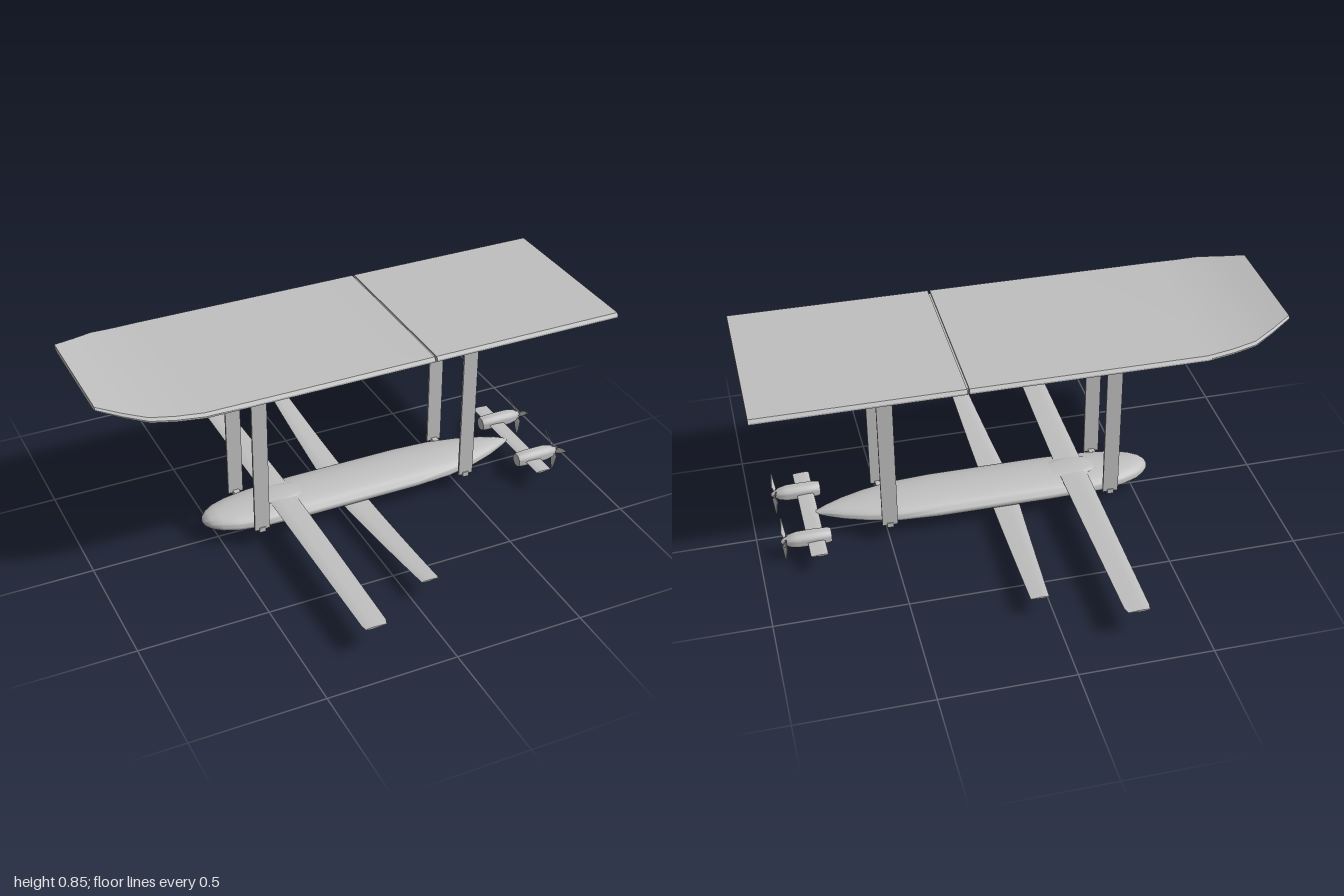
import * as THREE from 'three';
import { toCreasedNormals } from 'three/addons/utils/BufferGeometryUtils.js';

const hullGrey = new THREE.MeshStandardMaterial({ color: 0xc0c0c0 });

// Closed skin through rings of [x, y, z] points, capped at both ends
function loft(rings, crease = 0.6) {
  const n = rings[0].length, pos = rings.flat(2), idx = [];
  for (let i = 0; i < rings.length - 1; i++) {
    for (let j = 0; j < n; j++) {
      const a = i * n + j, b = i * n + (j + 1) % n;
      idx.push(a, b, b + n, a, b + n, a + n);
    }
  }
  const last = (rings.length - 1) * n;
  for (let j = 1; j < n - 1; j++) idx.push(0, j + 1, j, last, last + j, last + j + 1);
  // Turn the faces outwards when the signed volume is negative
  const p = (i) => new THREE.Vector3().fromArray(pos, i * 3);
  let volume = 0;
  for (let i = 0; i < idx.length; i += 3) volume += p(idx[i]).dot(p(idx[i + 1]).cross(p(idx[i + 2])));
  if (volume < 0) idx.reverse();
  const g = new THREE.BufferGeometry();
  g.setAttribute('position', new THREE.Float32BufferAttribute(pos, 3));
  g.setIndex(idx);
  return toCreasedNormals(g, crease);
}

// Elliptical ring across the x axis
function ellipse(x, y, z, ry, rz, n = 32) {
  return Array.from({ length: n }, (_, i) => {
    const a = (i / n) * Math.PI * 2;
    return [x, y + ry * Math.sin(a), z + rz * Math.cos(a)];
  });
}

// Thin aerofoil ring from leading edge x0 to trailing edge x1
function foil(x0, x1, y, z, t) {
  const c = x1 - x0;
  return [[0, 0], [0.12, 0.4], [0.4, 0.5], [1, 0.1], [1, -0.1], [0.4, -0.5], [0.12, -0.4]]
    .map(([u, v]) => [x0 + u * c, y + v * t, z]);
}

export function createModel() {
  const model = new THREE.Group();
  const add = (name, geometry, x = 0, y = 0, z = 0, parent = model) => {
    const mesh = new THREE.Mesh(geometry, hullGrey);
    mesh.name = name;
    mesh.position.set(x, y, z);
    parent.add(mesh);
    return mesh;
  };
  const box = (name, w, h, d, x, y, z, parent) => add(name, new THREE.BoxGeometry(w, h, d), x, y, z, parent);

  // Upper deck: two bevelled panels, the front one with an upturned nose
  const deckRing = ([x, w, top, t]) => {
    const right = [[w - 0.008, top], [w, top - 0.35 * t], [w, top - 0.55 * t], [w - 0.03, top - t]];
    return [...right, ...right.slice().reverse().map(([z, y]) => [-z, y])].map(([z, y]) => [x, y, z]);
  };
  add('frontDeckPanel', loft([
    [-1, 0.238, 0.866, 0.02], [-0.92, 0.283, 0.847, 0.026], [-0.84, 0.325, 0.832, 0.03],
    [-0.75, 0.34, 0.822, 0.032], [-0.65, 0.352, 0.816, 0.033], [0.228, 0.352, 0.816, 0.033],
  ].map(deckRing), 0.25));
  add('rearDeckPanel', loft([[0.236, 0.352, 0.816, 0.033], [1, 0.352, 0.816, 0.033]].map(deckRing), 0.25));
  box('deckJoint', 0.02, 0.024, 0.66, 0.232, 0.798, 0);

  // Rail frame under the deck
  for (const s of [1, -1]) {
    box('deckRail', 1.62, 0.02, 0.05, 0.17, 0.775, s * 0.138);
    box('railFoot', 1.6, 0.006, 0.034, 0.17, 0.763, s * 0.134);
  }
  for (const x of [-0.63, 0.97]) box('railCrossbar', 0.02, 0.02, 0.32, x, 0.775, 0);

  // Lower hull, flattened with a blunt nose and a tapering tail
  add('hull', loft([
    [-0.562, 0.102, 0.004, 0.006], [-0.555, 0.102, 0.016, 0.026], [-0.535, 0.102, 0.028, 0.05],
    [-0.5, 0.101, 0.036, 0.075], [-0.44, 0.1, 0.041, 0.098], [-0.34, 0.1, 0.044, 0.115],
    [-0.15, 0.101, 0.047, 0.122], [0.3, 0.101, 0.047, 0.122], [0.45, 0.101, 0.044, 0.113],
    [0.57, 0.102, 0.037, 0.088], [0.66, 0.103, 0.028, 0.058], [0.72, 0.104, 0.02, 0.03],
    [0.765, 0.104, 0.006, 0.008],
  ].map(([x, y, ry, rz]) => ellipse(x, y, 0, ry, rz)), 1));
  add('wingFairing', loft([
    [-0.36, 0.136, 0.003, 0.02], [-0.31, 0.142, 0.008, 0.05], [-0.25, 0.142, 0.01, 0.06],
    [-0.17, 0.14, 0.008, 0.05], [-0.1, 0.138, 0.004, 0.02],
  ].map(([x, y, ry, rz]) => ellipse(x, y, 0, ry, rz, 20)), 1));

  // Straight front wing on top of the hull
  add('frontWing', loft([
    [-0.875, -0.295, -0.215], [-0.85, -0.3, -0.207], [-0.35, -0.3, -0.197], [0, -0.3, -0.192],
    [0.35, -0.3, -0.197], [0.85, -0.3, -0.207], [0.875, -0.295, -0.215],
  ].map(([z, a, b]) => foil(a, b, 0.142, z, Math.abs(z) > 0.5 ? 0.008 : 0.011))));

  // Curved rear wing below the hull
  const rearRings = [];
  for (let i = -10; i <= 10; i++) {
    const u = Math.abs(i) / 10;
    rearRings.push(foil(-0.022 + 0.043 * u, 0.09, 0.075 + 0.031 * u ** 1.7, 0.685 * i / 10, 0.013 - 0.006 * u));
  }
  add('rearWing', loft(rearRings));

  // Struts carrying the deck, with small lower brackets
  for (const x of [-0.372, 0.5]) {
    for (const s of [1, -1]) {
      box('strut', 0.06, 0.67, 0.009, x, 0.435, s * 0.135);
      box('strutBracket', 0.025, 0.02, 0.05, x, 0.1, s * 0.118);
    }
  }

  // Tail plane through both engine pods
  add('tailPlane', loft([-0.26, 0, 0.26].map((z) => foil(0.755, 0.82, 0.104, z, 0.008))));

  // Engine pods with three-bladed propellers
  const podProfile = [[0, 0], [0.026, 0], [0.03, 0.012], [0.032, 0.06], [0.031, 0.13], [0.024, 0.16],
    [0.016, 0.17], [0.014, 0.178], [0.008, 0.188], [0, 0.192]].map(([r, h]) => new THREE.Vector2(r, h));
  const podGeometry = toCreasedNormals(new THREE.LatheGeometry(podProfile, 24), 0.8);
  const bladeGeometry = loft([[0.006, 0.006, 0], [0.03, 0.013, 0.7], [0.06, 0.01, 0.45], [0.092, 0.002, 0.3]]
    .map(([r, w, twist]) => [[-w, -0.0015], [w, -0.0015], [w, 0.0015], [-w, 0.0015]].map(([u, v]) =>
      [u * Math.sin(twist) + v * Math.cos(twist), -r, u * Math.cos(twist) - v * Math.sin(twist)])));
  for (const s of [1, -1]) {
    const pod = new THREE.Group();
    pod.name = 'enginePod';
    pod.position.set(0.728, 0.104, s * 0.147);
    add('podBody', podGeometry, 0, 0, 0, pod).rotation.z = -Math.PI / 2;
    for (let i = 0; i < 3; i++) {
      add('propellerBlade', bladeGeometry, 0.177, 0, 0, pod).rotation.x = i * Math.PI * 2 / 3 + s * 0.06;
    }
    model.add(pod);
  }
  return model;
}
